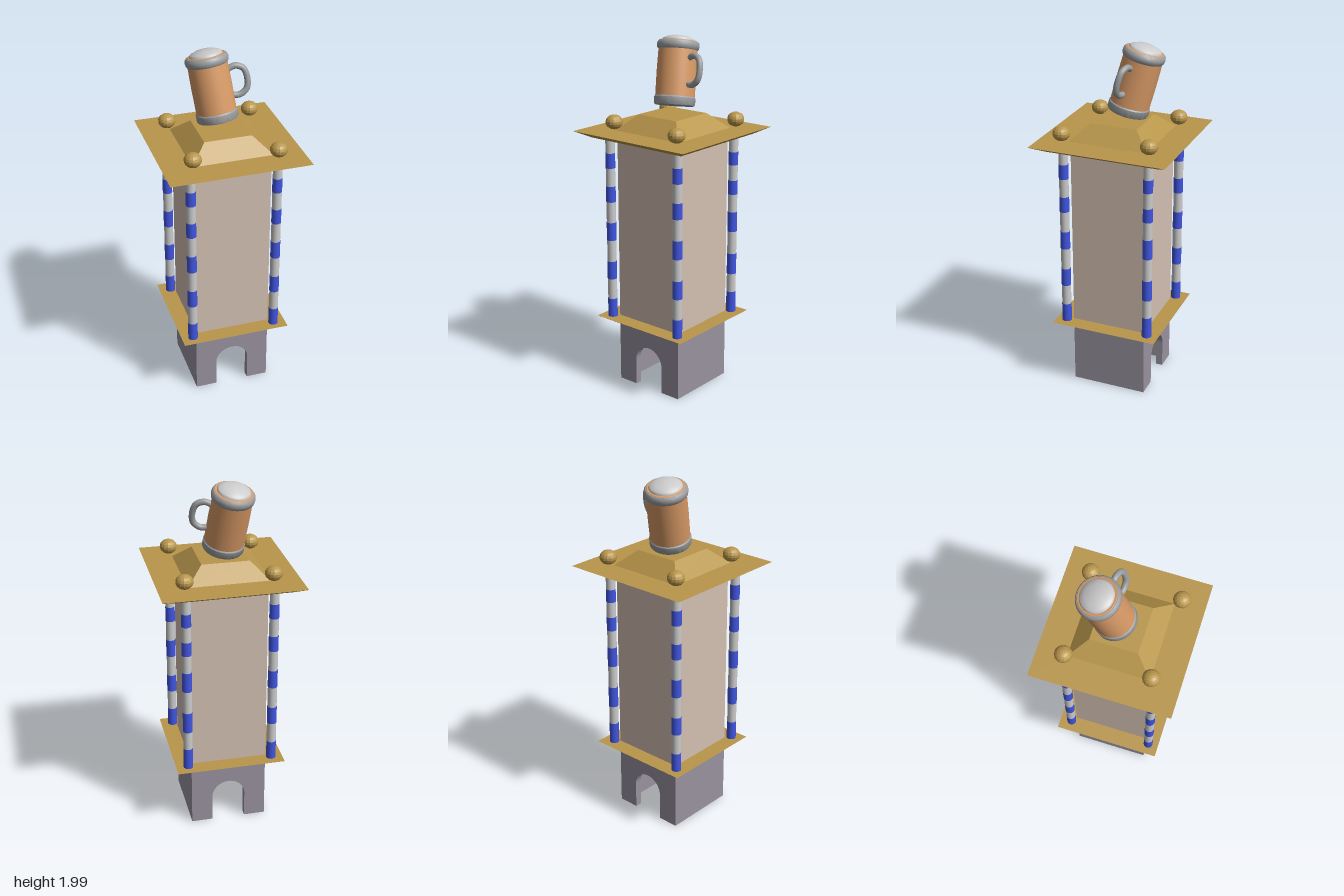
import * as THREE from 'three';
import { toCreasedNormals } from 'three/addons/utils/BufferGeometryUtils.js';

const mat = (color, flatShading = false) =>
  new THREE.MeshStandardMaterial({ color, flatShading });

const gold = mat(0xb8964b, true);
const stone = mat(0x99929f);
const plaster = mat(0xd3c0b2);
const blue = mat(0x4055e0);
const grey = mat(0xcccccc);
const wood = mat(0xd89a66);
const metal = mat(0x9c9ea0);

function add(parent, name, geometry, material, x = 0, y = 0, z = 0) {
  const mesh = new THREE.Mesh(geometry, material);
  mesh.name = name;
  mesh.position.set(x, y, z);
  parent.add(mesh);
  return mesh;
}

// Square slab with sloping sides, given half widths at top and bottom
function frustum(top, bottom, y0, y1) {
  const g = new THREE.CylinderGeometry(top * Math.SQRT2, bottom * Math.SQRT2, y1 - y0, 4);
  return g.rotateY(Math.PI / 4).translate(0, (y0 + y1) / 2, 0);
}

function lathe(points, segments = 48) {
  const g = new THREE.LatheGeometry(points.map(p => new THREE.Vector2(...p)), segments);
  return toCreasedNormals(g, 0.6);
}

// Hollow plinth: arched walls at front and back, plain side walls
function buildPlinth() {
  const plinth = new THREE.Group();
  plinth.name = 'plinth';
  const w = 0.215, h = 0.365, t = 0.04, r = 0.095, spring = 0.155;
  const shape = new THREE.Shape();
  shape.moveTo(-w, 0).lineTo(-r, 0).lineTo(-r, spring);
  shape.absarc(0, spring, r, Math.PI, 0, true);
  shape.lineTo(r, 0).lineTo(w, 0).lineTo(w, h).lineTo(-w, h);
  const wall = new THREE.ExtrudeGeometry(shape, { depth: t, bevelEnabled: false, curveSegments: 20 });
  add(plinth, 'frontArchWall', wall, stone, 0, 0, w - t);
  add(plinth, 'backArchWall', wall, stone, 0, 0, -w);
  for (const s of [-1, 1])
    add(plinth, 'sideWall', new THREE.BoxGeometry(t, h, 2 * (w - t)), stone, s * (w - t / 2), h / 2, 0);
  return plinth;
}

// Striped corner column, alternating blue and grey between the given heights
function buildColumn(x, z, levels) {
  const column = new THREE.Group();
  column.name = 'stripedColumn';
  for (let i = 0; i < levels.length - 1; i++) {
    const h = levels[i + 1] - levels[i];
    const isBlue = i % 2 === 0;
    const r = isBlue ? 0.027 : 0.026;
    add(column, isBlue ? 'blueBand' : 'greyBand', new THREE.CylinderGeometry(r, r, h, 24),
      isBlue ? blue : grey, 0, levels[i] + h / 2, 0);
  }
  column.position.set(x, 0, z);
  return column;
}

// Tilted mug with metal bands, foam and a side handle
function buildMug() {
  const mug = new THREE.Group();
  mug.name = 'mug';
  add(mug, 'mugBody', lathe([[0, 0.02], [0.108, 0.02], [0.109, 0.18], [0.106, 0.345],
    [0.1, 0.352], [0.088, 0.352], [0.088, 0.33]]), wood);
  add(mug, 'bottomBand', lathe([[0, 0], [0.108, 0], [0.113, 0.008], [0.113, 0.042], [0.107, 0.05]]), metal);
  add(mug, 'topBand', lathe([[0.107, 0.302], [0.114, 0.31], [0.117, 0.326], [0.114, 0.341],
    [0.107, 0.349], [0.1, 0.35]]), metal);
  add(mug, 'foam', lathe([[0.09, 0.335], [0.09, 0.353], [0.083, 0.364], [0.055, 0.376], [0, 0.383]]), grey);

  const path = new THREE.CatmullRomCurve3([
    [0.095, 0.255], [0.14, 0.266], [0.18, 0.245], [0.193, 0.19],
    [0.18, 0.135], [0.14, 0.11], [0.095, 0.115],
  ].map(([x, y]) => new THREE.Vector3(x, y, 0)));
  add(mug, 'mugHandle', new THREE.TubeGeometry(path, 40, 0.017, 14), metal).rotation.y = -0.2;

  mug.position.set(-0.008, 1.617, -0.023);
  const axis = new THREE.Vector3(-0.04, 0.335, -0.084).normalize();
  mug.quaternion.setFromUnitVectors(new THREE.Vector3(0, 1, 0), axis);
  return mug;
}

export function createModel() {
  const model = new THREE.Group();
  model.name = 'tower';

  model.add(buildPlinth());
  add(model, 'lowerLedge', frustum(0.307, 0.25, 0.365, 0.4), gold);
  add(model, 'towerBody', new THREE.BoxGeometry(0.43, 1.06, 0.43), plaster, 0, 0.927, 0);
  add(model, 'roofLedge', frustum(0.385, 0.315, 1.453, 1.49), gold);
  add(model, 'roofCap', frustum(0.131, 0.223, 1.49, 1.575), gold);

  // Corner columns; the back left one has slightly different stripes
  const even = [0.4, 0.51, 0.63, 0.735, 0.86, 0.965, 1.085, 1.175, 1.28, 1.365, 1.455];
  const uneven = [0.4, 0.525, 0.635, 0.757, 0.89, 1.006, 1.11, 1.19, 1.28, 1.355, 1.455];
  for (const [x, z, levels] of [[-0.242, 0.246, even], [0.238, 0.248, even],
    [-0.242, -0.24, even], [0.238, -0.24, uneven]])
    model.add(buildColumn(x, z, levels));

  // Faceted knobs on the roof corners
  const knob = new THREE.SphereGeometry(0.048, 14, 9).scale(1, 0.84, 1);
  for (const [x, z] of [[-0.235, -0.237], [0.245, -0.246], [-0.223, 0.23], [0.238, 0.256]])
    add(model, 'roofKnob', knob, gold, x, 1.538, z);

  model.add(buildMug());
  return model;
}
